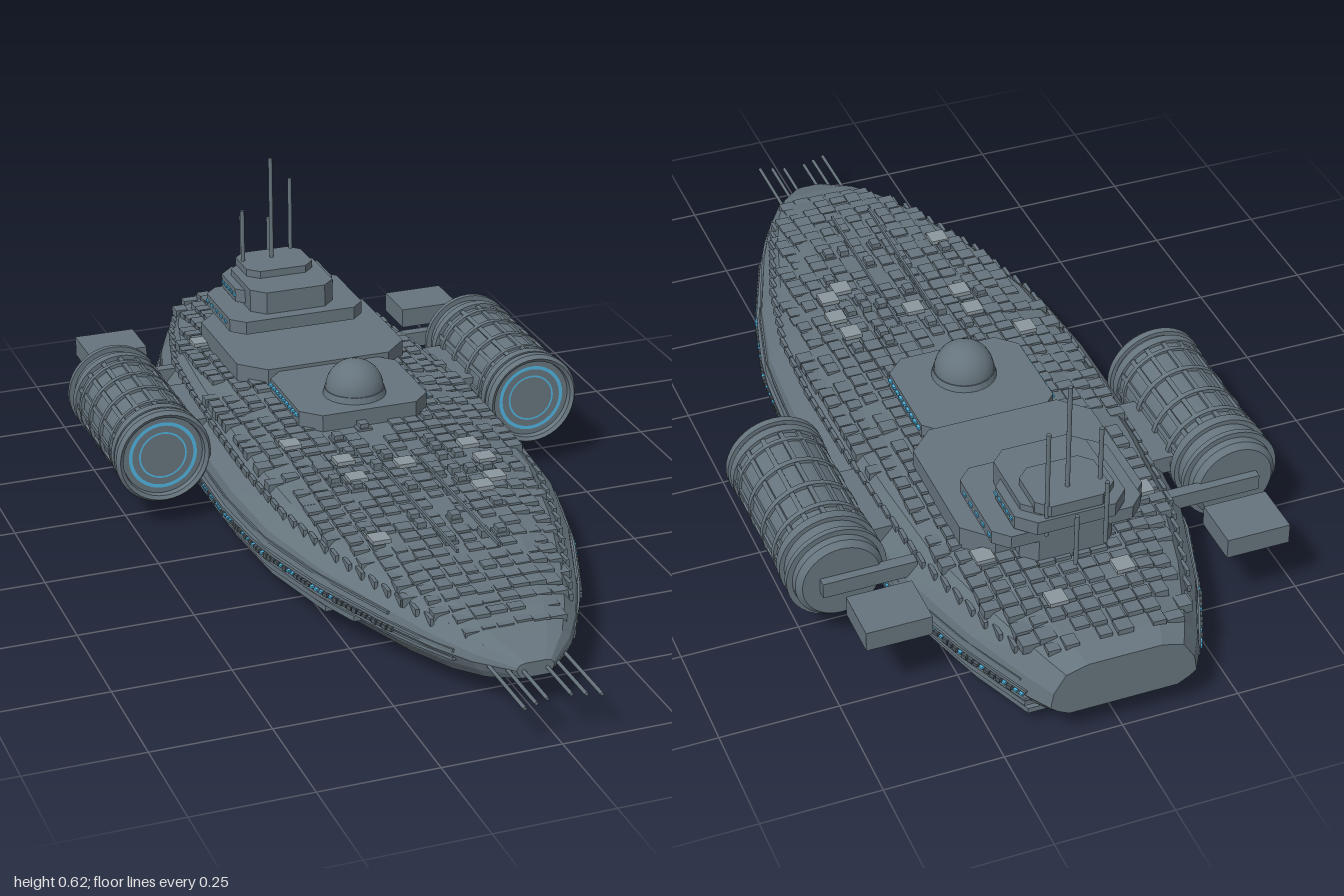
import * as THREE from 'three';
import { mergeGeometries, toCreasedNormals } from 'three/addons/utils/BufferGeometryUtils.js';

const mat = (name, color, flatShading = false) => {
  const m = new THREE.MeshStandardMaterial({ color, flatShading });
  m.name = name;
  return m;
};

// Hull stations: z, half width, keel height, deck height
const STATIONS = [
  [-1, 0.155, 0.07, 0.185], [-0.95, 0.185, 0.045, 0.198], [-0.8, 0.252, 0.03, 0.215],
  [-0.6, 0.315, 0.018, 0.23], [-0.4, 0.337, 0.009, 0.235], [-0.2, 0.347, 0.003, 0.23],
  [0, 0.35, 0, 0.222], [0.2, 0.335, 0.006, 0.21], [0.4, 0.285, 0.014, 0.194],
  [0.6, 0.21, 0.028, 0.172], [0.72, 0.155, 0.042, 0.153], [0.8, 0.105, 0.058, 0.135],
  [0.865, 0.04, 0.078, 0.11],
];
const WAIST = 0.096;

function sample(z, k) {
  let i = 0;
  while (i < STATIONS.length - 2 && z > STATIONS[i + 1][0]) i++;
  const a = STATIONS[i], b = STATIONS[i + 1];
  return THREE.MathUtils.lerp(a[k], b[k], (z - a[0]) / (b[0] - a[0]));
}
const halfWidth = (z) => sample(z, 1);

// Deck height at x, z, with shoulders falling toward the sides
function deckY(x, z) {
  const w = halfWidth(z), t = sample(z, 3), f = Math.abs(x) / w;
  if (f < 0.5) return t;
  const drop = f < 0.8 ? 0.15 * (f - 0.5) / 0.3 : 0.15 + 0.45 * (f - 0.8) / 0.16;
  return t - drop * (t - WAIST);
}

function hullGeometry() {
  const pos = [], idx = [], n = 12;
  for (const [z, w, b, t] of STATIONS) {
    const up = (f) => WAIST + f * (t - WAIST);
    const half = [[0.74 * w, b], [0.9 * w, (b + WAIST) / 2], [w, WAIST], [0.96 * w, up(0.4)], [0.8 * w, up(0.85)], [0.5 * w, t]];
    const ring = [...half, ...half.slice().reverse().map(([x, y]) => [-x, y])];
    ring.forEach(([x, y]) => pos.push(x, y, z));
  }
  const last = (STATIONS.length - 1) * n;
  for (let i = 0; i < last; i += n) {
    for (let j = 0; j < n; j++) {
      const a = i + j, b = i + (j + 1) % n;
      idx.push(a, b, a + n, b, b + n, a + n);
    }
  }
  for (let j = 1; j < n - 1; j++) idx.push(0, j + 1, j, last, last + j, last + j + 1);
  const g = new THREE.BufferGeometry();
  g.setAttribute('position', new THREE.Float32BufferAttribute(pos, 3));
  g.setIndex(idx);
  const flat = g.toNonIndexed();
  flat.computeVertexNormals();
  return flat;
}

// Flat plate from a plan outline of [x, z] points
function plate(points, y0, y1) {
  const shape = new THREE.Shape(points.map(([x, z]) => new THREE.Vector2(x, -z)));
  return new THREE.ExtrudeGeometry(shape, { depth: y1 - y0, bevelEnabled: false }).rotateX(-Math.PI / 2).translate(0, y0, 0);
}

// Plate that follows the hull plan
function hullPlate(scale, y0, y1, z0, z1) {
  const side = [];
  for (let i = 0; i <= 20; i++) {
    const z = z0 + (z1 - z0) * i / 20;
    side.push([halfWidth(z) * scale, z]);
  }
  return plate([...side, ...side.slice().reverse().map(([x, z]) => [-x, z])], y0, y1);
}

// Superstructure level with cut corners
function tier(w, z0, z1, y0, y1, c) {
  return plate([[w - c, z0], [w, z0 + c], [w, z1 - c], [w - c, z1], [c - w, z1], [-w, z1 - c], [-w, z0 + c], [c - w, z0]], y0, y1);
}

const box = (w, h, d, x, y, z, ry = 0) => new THREE.BoxGeometry(w, h, d).rotateY(ry).translate(x, y, z);

export function createModel() {
  const model = new THREE.Group();
  const hullMat = mat('hullGrey', 0x66747d, true);
  const smoothMat = mat('smoothGrey', 0x66747d);
  const darkMat = mat('darkTrim', 0x4c575e);
  const lightMat = mat('lightPanel', 0x8b979d);
  const glowMat = mat('blueGlow', 0x4fb4e0);
  const add = (name, geometry, material, parent = model) => {
    const m = new THREE.Mesh(geometry, material);
    m.name = name;
    parent.add(m);
    return m;
  };
  let seed = 7;
  const rnd = () => (seed = (seed * 16807) % 2147483647) / 2147483647;

  add('hull', hullGeometry(), hullMat);

  // Side ledges running along the waist and lower flanks
  add('waistLedges', mergeGeometries([
    hullPlate(1.012, 0.083, 0.09, -0.95, 0.76), hullPlate(1.012, 0.101, 0.108, -0.95, 0.76),
    hullPlate(0.985, 0.12, 0.126, -0.93, 0.6),
  ]), hullMat);
  add('lowerLedges', mergeGeometries([
    hullPlate(0.93, 0.038, 0.05, -0.94, 0.4), hullPlate(0.97, 0.06, 0.072, -0.94, 0.5),
  ]), hullMat);

  // Windows and trim blocks along the waist
  const windows = [], blocks = [];
  for (let z = -0.94; z < 0.62; z += 0.014) {
    const slope = Math.atan((halfWidth(z + 0.01) - halfWidth(z - 0.01)) / 0.02);
    const r = rnd(), tall = 0.006 + rnd() * 0.006;
    for (const s of [-1, 1]) {
      if (r < 0.55 && z < 0.45) windows.push(box(0.008, 0.005, 0.009, s * halfWidth(z) * 1.008, 0.0955, z, s * slope));
      else blocks.push(box(0.014, tall, 0.012, s * halfWidth(z), 0.0955, z, s * slope));
    }
  }
  add('waistWindows', mergeGeometries(windows), glowMat);
  add('waistBlocks', mergeGeometries(blocks), darkMat);

  // Rows of low machinery covering the deck
  const machinery = [], panels = [], vents = [];
  for (let z = -0.94; z < 0.76; z += 0.036) {
    const w = halfWidth(z) * 0.8;
    for (let x = 0.02; x < w; x += 0.036) {
      for (const s of [-1, 1]) {
        const h = 0.002 + rnd() * 0.006;
        const y = deckY(x, z + 0.014) + h - 0.01;
        if (rnd() < 0.88) machinery.push(box(0.026 + rnd() * 0.01, 0.02, 0.024 + rnd() * 0.011, s * x, y, z));
        if (z > -0.1 && z < 0.5 && x < 0.19 && rnd() < 0.2) vents.push(box(0.02, 0.016, 0.024, s * x, y + 0.012, z));
      }
    }
  }
  add('deckMachinery', mergeGeometries(machinery), hullMat);
  add('deckVents', mergeGeometries(vents), hullMat);
  for (const [x, z] of [[-0.08, -0.8], [0.08, -0.84], [0.17, -0.68], [-0.21, -0.6], [-0.2, 0], [-0.12, 0.11], [-0.12, 0.19],
    [0, 0.16], [0.16, 0.12], [0.17, 0.19], [0.16, 0.27], [0.12, 0.3], [-0.16, 0.43]]) {
    panels.push(box(0.04, 0.009, 0.04, x, deckY(x, z) + 0.014, z));
  }
  add('lightDeckPanels', mergeGeometries(panels), lightMat);

  // Long deck rails and twin barrels
  const rails = [];
  for (const s of [-1, 1]) {
    rails.push(box(0.005, 0.008, 0.44, s * 0.045, 0.217, 0.35));
    for (let z = -0.88; z < 0.7; z += 0.04) {
      const x = halfWidth(z) * 0.86;
      rails.push(box(0.008, 0.016, 0.034, s * x, deckY(x, z), z));
    }
  }
  add('deckRails', mergeGeometries(rails), hullMat);

  // Stepped superstructure and bridge, with recessed necks between levels
  const tower = new THREE.Group();
  tower.name = 'superstructure';
  model.add(tower);
  add('frontTerrace', tier(0.148, -0.32, -0.05, 0.2, 0.262, 0.04), hullMat, tower);
  add('mainTerrace', tier(0.198, -0.68, -0.31, 0.2, 0.27, 0.055), hullMat, tower);
  add('bridgeNeck', tier(0.1, -0.73, -0.53, 0.21, 0.36, 0.03), hullMat, tower);
  add('bridgeLevelOne', tier(0.16, -0.73, -0.5, 0.278, 0.308, 0.03), hullMat, tower);
  add('bridgeLevelTwo', tier(0.118, -0.75, -0.58, 0.314, 0.345, 0.035), hullMat, tower);
  add('bridgeLevelThree', tier(0.08, -0.75, -0.62, 0.351, 0.377, 0.025), hullMat, tower);
  const lights = [];
  for (const s of [-1, 1]) {
    for (let i = 0; i < 9; i++) lights.push(box(0.008, 0.006, 0.012, s * 0.15, 0.25, -0.27 + i * 0.021));
    for (let i = 0; i < 5; i++) lights.push(box(0.006, 0.006, 0.012, s * 0.118, 0.33, -0.7 + i * 0.02));
    for (let i = 0; i < 5; i++) lights.push(box(0.006, 0.006, 0.014, s * 0.16, 0.293, -0.69 + i * 0.033));
  }
  add('towerWindows', mergeGeometries(lights), glowMat, tower);

  // Sensor dome
  add('domeCollar', new THREE.CylinderGeometry(0.066, 0.07, 0.016, 32).translate(0, 0.268, -0.145), hullMat, tower);
  add('dome', new THREE.SphereGeometry(0.064, 32, 16).translate(0, 0.275, -0.145), smoothMat, tower);

  // Antenna masts: x, z, base, top
  for (const [x, z, y0, y1] of [[0, -0.7, 0.37, 0.62], [0.06, -0.74, 0.3, 0.55], [-0.07, -0.7, 0.33, 0.5], [-0.04, -0.8, 0.3, 0.45], [0.04, -0.84, 0.3, 0.42]]) {
    add('antenna', new THREE.CylinderGeometry(0.005, 0.005, y1 - y0, 8).translate(x, (y0 + y1) / 2, z), smoothMat);
  }

  // Bow probes
  for (const [x, end] of [[0.025, 0.98], [0.052, 0.99], [0.08, 1]]) {
    for (const s of [-1, 1]) {
      const len = end - 0.78;
      add('bowProbe', new THREE.CylinderGeometry(0.004, 0.004, len, 6).rotateX(Math.PI / 2).translate(s * x, 0.093, 0.78 + len / 2), smoothMat);
    }
  }

  // Side engines with ribs, bars, intake rings, pylons and tail pods
  const profile = [[0, -0.582], [0.082, -0.582], [0.093, -0.57], [0.096, -0.51], [0.098, -0.18], [0.107, -0.18],
    [0.107, -0.165], [0.1, -0.155], [0.092, -0.16], [0.09, -0.172], [0, -0.172]].map((p) => new THREE.Vector2(...p));
  for (const s of [-1, 1]) {
    const engine = new THREE.Group();
    engine.name = s > 0 ? 'leftEngine' : 'rightEngine';
    engine.position.set(s * 0.433, 0.17, 0);
    model.add(engine);
    add('engineBody', toCreasedNormals(new THREE.LatheGeometry(profile, 40).rotateX(Math.PI / 2), 0.5), smoothMat, engine);
    for (const [z, d, r] of [[-0.2, 0.02, 0.105], [-0.235, 0.01, 0.103], [-0.31, 0.012, 0.104], [-0.39, 0.012, 0.104], [-0.46, 0.012, 0.104], [-0.5, 0.02, 0.106], [-0.548, 0.012, 0.106]]) {
      add('engineRib', toCreasedNormals(new THREE.CylinderGeometry(r, r, d, 40).rotateX(Math.PI / 2).translate(0, 0, z), 0.5), smoothMat, engine);
    }
    const bars = [];
    for (let i = 0; i < 16; i++) {
      bars.push(new THREE.BoxGeometry(0.01, 0.006, 0.3).translate(0, 0.099, -0.35).rotateZ(i * Math.PI / 8));
    }
    add('engineBars', mergeGeometries(bars), smoothMat, engine);
    add('intakeGlowRing', new THREE.RingGeometry(0.069, 0.077, 40).translate(0, 0, -0.17), glowMat, engine);
    add('intakeInnerRing', new THREE.RingGeometry(0.05, 0.054, 40).translate(0, 0, -0.17), glowMat, engine);
    add('pylon', box(0.14, 0.04, 0.2, s * -0.1, 0, -0.38), hullMat, engine);
    add('rearStrut', box(0.2, 0.035, 0.025, s * -0.055, 0, -0.588), hullMat, engine);
    add('tailPod', box(0.138, 0.045, 0.115, s * -0.047, 0.015, -0.73), hullMat, engine);
  }
  return model;
}
